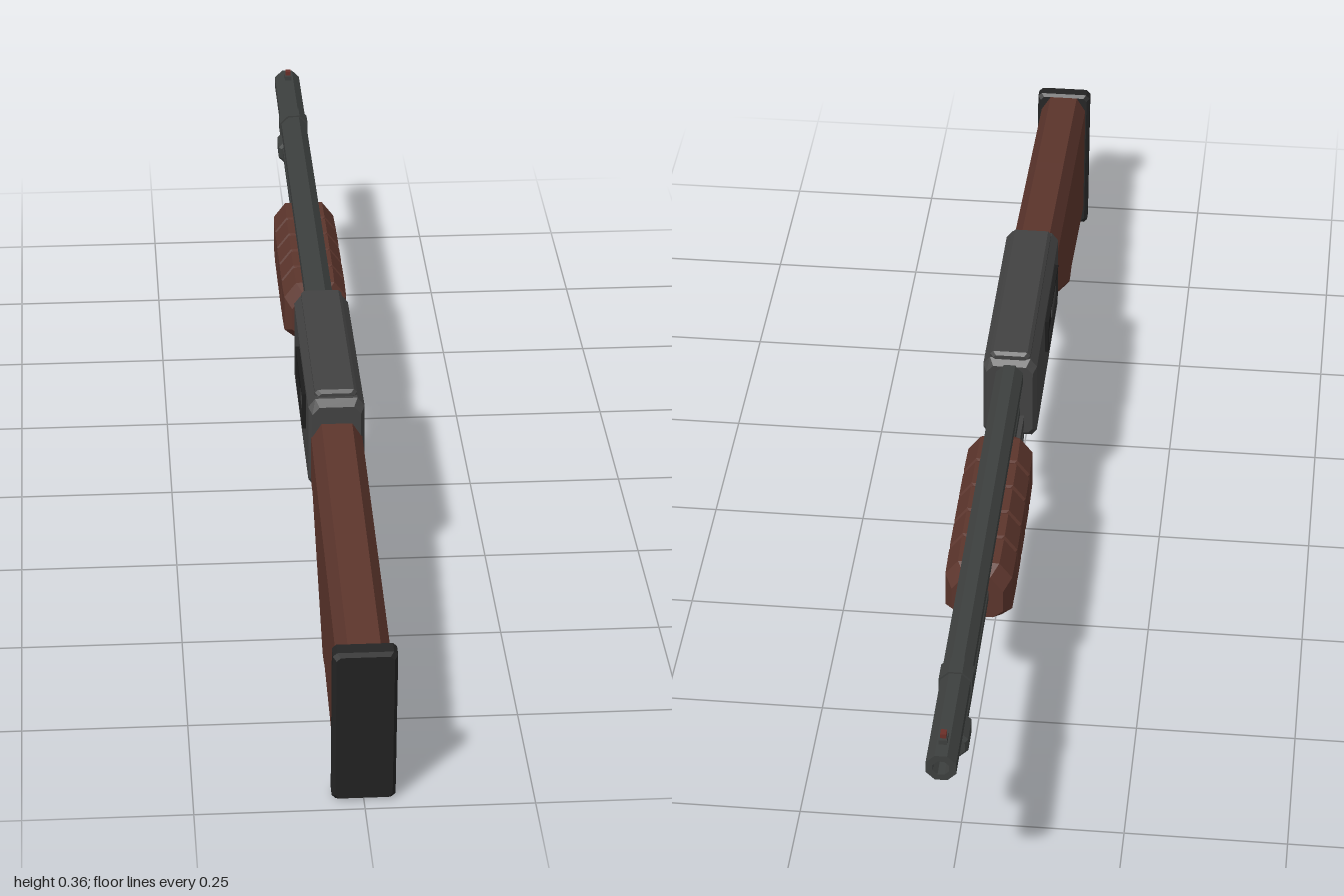
import * as THREE from 'three';

const mat = (name, color) => {
  const m = new THREE.MeshStandardMaterial({ color });
  m.name = name;
  return m;
};

// Flat facets from split faces
function faceted(geo) {
  const g = geo.index ? geo.toNonIndexed() : geo;
  g.computeVertexNormals();
  return g;
}

// Lofts chamfered rectangles, ordered by rising z. Each section:
// [zTop, zBottom, yTop, yBottom, halfWidth, topChamferX, topChamferY, bottomChamferX, bottomChamferY]
function loft(sections) {
  const rings = sections.map(([zt, zb, t, b, w, tx, ty, bx = tx, by = ty]) => {
    const half = [[w - bx, b], [w, b + by], [w, t - ty], [w - tx, t]];
    const ring = [...half, ...half.map(([x, y]) => [-x, y]).reverse()];
    return ring.map(([x, y]) => new THREE.Vector3(x, y, zb + (zt - zb) * (y - b) / (t - b)));
  });
  const pts = [];
  const n = 8;
  for (let i = 0; i < rings.length - 1; i++) {
    for (let j = 0; j < n; j++) {
      const k = (j + 1) % n;
      const [a, b, c, d] = [rings[i][j], rings[i][k], rings[i + 1][k], rings[i + 1][j]];
      pts.push(a, b, c, a, c, d);
    }
  }
  const first = rings[0], last = rings[rings.length - 1];
  for (let j = 1; j < n - 1; j++) {
    pts.push(first[0], first[j + 1], first[j], last[0], last[j], last[j + 1]);
  }
  return faceted(new THREE.BufferGeometry().setFromPoints(pts));
}

// Straight block with every edge chamfered
function block(z0, z1, top, bottom, w, c) {
  return loft([
    [z0, z0, top - c, bottom + c, w - c, c, c],
    [z0 + c, z0 + c, top, bottom, w, c, c],
    [z1 - c, z1 - c, top, bottom, w, c, c],
    [z1, z1, top - c, bottom + c, w - c, c, c],
  ]);
}

// Eight-sided turned part lying along z; profile is [radius, z]
function turned(profile) {
  const g = new THREE.LatheGeometry(profile.map(p => new THREE.Vector2(...p)), 8);
  return faceted(g.rotateY(Math.PI / 8).rotateX(Math.PI / 2));
}

export function createModel() {
  const metal = mat('gunmetal', 0x424242);
  const barrelMetal = mat('barrel steel', 0x3d403f);
  const wood = mat('wood', 0x5c352c);
  const rubber = mat('rubber', 0x242424);
  const dark = mat('dark opening', 0x1c1c1c);
  const red = mat('dull red', 0x6b2f28);

  const group = new THREE.Group();
  const add = (name, geo, material, x = 0, y = 0, z = 0) => {
    const m = new THREE.Mesh(geo, material);
    m.name = name;
    m.position.set(x, y, z);
    group.add(m);
    return m;
  };
  const box = (name, sx, sy, sz, material, x, y, z) =>
    add(name, new THREE.BoxGeometry(sx, sy, sz), material, x, y, z);

  // Stock: narrow wrist, swept belly, slanted butt
  add('stock', loft([
    [0.36, 0.36, 0.315, 0.198, 0.04, 0.016, 0.025, 0.016, 0.02],
    [0.41, 0.41, 0.311, 0.189, 0.04, 0.016, 0.025, 0.016, 0.02],
    [0.655, 0.655, 0.287, 0.043, 0.04, 0.016, 0.025, 0.016, 0.02],
    [0.675, 0.675, 0.285, 0.043, 0.04, 0.016, 0.025, 0.016, 0.02],
    [0.70, 0.70, 0.283, 0.053, 0.04, 0.016, 0.025, 0.016, 0.015],
    [0.968, 0.943, 0.256, 0.024, 0.04, 0.016, 0.025, 0.016, 0.01],
  ]), wood);

  // Butt pad
  add('buttPad', loft([
    [0.966, 0.942, 0.256, 0.006, 0.042, 0.006, 0.006],
    [0.971, 0.947, 0.261, 0.001, 0.047, 0.006, 0.006],
    [0.992, 0.968, 0.259, 0, 0.047, 0.006, 0.006],
    [1.0, 0.976, 0.255, 0.004, 0.042, 0.006, 0.006],
  ]), rubber);

  // Receiver with raised top plate
  add('receiver', loft([
    [-0.018, -0.018, 0.342, 0.212, 0.038, 0.011, 0.012, 0.008, 0.008],
    [-0.008, -0.008, 0.353, 0.202, 0.044, 0.011, 0.014, 0.008, 0.01],
    [0.368, 0.368, 0.353, 0.202, 0.044, 0.011, 0.014, 0.008, 0.01],
    [0.378, 0.378, 0.342, 0.212, 0.038, 0.011, 0.012, 0.008, 0.008],
  ]), metal);
  add('topPlate', block(-0.01, 0.362, 0.363, 0.345, 0.033, 0.005), metal);

  // Ejection port: frame strips around an opening with a bolt
  const portX = -0.046;
  box('portOpening', 0.005, 0.05, 0.16, dark, -0.0435, 0.3, 0.22);
  box('bolt', 0.005, 0.04, 0.075, metal, -0.045, 0.3, 0.258);
  for (const s of [-1, 1]) {
    box('portRail', 0.008, 0.006, 0.172, dark, portX, 0.3 + s * 0.027, 0.22);
    box('portEnd', 0.008, 0.06, 0.006, dark, portX, 0.3, 0.22 + s * 0.083);
  }

  // Trigger housing, guard and trigger
  add('triggerHousing', block(0.085, 0.362, 0.21, 0.16, 0.032, 0.01), metal);
  const guard = new THREE.Shape();
  [[0.305, 0.165], [0.305, 0.14], [0.255, 0.109], [0.16, 0.109], [0.125, 0.138], [0.125, 0.165]]
    .forEach(([z, y], i) => (i ? guard.lineTo(z, y) : guard.moveTo(z, y)));
  const gap = new THREE.Path();
  [[0.291, 0.164], [0.291, 0.148], [0.25, 0.122], [0.165, 0.122], [0.139, 0.144], [0.139, 0.164]]
    .forEach(([z, y], i) => (i ? gap.lineTo(z, y) : gap.moveTo(z, y)));
  guard.holes.push(gap);
  const guardGeo = new THREE.ExtrudeGeometry(guard, { depth: 0.028, bevelEnabled: false });
  add('triggerGuard', faceted(guardGeo.translate(0, 0, -0.014).rotateY(-Math.PI / 2)), metal);
  const trigger = box('trigger', 0.012, 0.045, 0.012, metal, 0, 0.147, 0.225);
  trigger.rotation.x = -0.25;
  for (const s of [-1, 1]) box('safetyButton', 0.006, 0.014, 0.014, red, s * 0.033, 0.182, 0.33);

  // Angled lip below the front of the receiver
  const lip = add('loadingLip', block(-0.04, 0.04, 0.017, -0.017, 0.022, 0.007), metal, 0, 0.199, -0.004);
  lip.rotation.x = -0.5;

  // Barrel with an open muzzle
  add('barrel', turned([
    [0, -0.92], [0.013, -0.92], [0.013, -1], [0.024, -1], [0.024, 0], [0, 0],
  ]), barrelMetal, 0, 0.322, 0);
  box('frontSightBase', 0.012, 0.012, 0.022, barrelMetal, 0, 0.346, -0.963);
  box('frontSight', 0.009, 0.012, 0.012, red, 0, 0.353, -0.963);

  // Magazine tube, end cap and barrel clamp
  add('magazineTube', turned([[0, -0.83], [0.019, -0.83], [0.019, 0], [0, 0]]), barrelMetal, 0, 0.258, 0);
  add('magazineCap', turned([
    [0, -0.874], [0.022, -0.874], [0.027, -0.868], [0.027, -0.822], [0.022, -0.816], [0, -0.816],
  ]), barrelMetal, 0, 0.257, 0);
  add('barrelClamp', turned([[0, -0.812], [0.027, -0.812], [0.027, -0.778], [0, -0.778]]),
    barrelMetal, 0, 0.322, 0);
  box('clampWeb', 0.016, 0.05, 0.03, barrelMetal, 0, 0.285, -0.795);

  // Sliding bars between receiver and pump
  for (const s of [-1, 1]) box('actionBar', 0.008, 0.02, 0.16, metal, s * 0.02, 0.236, -0.08);

  // Pump grip with shallow grooves
  const pumpRing = (z, w, t = 0.304, b = 0.205) => [z, z, t, b, w, 0.02, 0.026, 0.016, 0.013];
  const pump = [pumpRing(-0.512, 0.04, 0.292, 0.215), pumpRing(-0.49, 0.052)];
  for (let i = 1; i < 5; i++) {
    const z = -0.49 + i * 0.066;
    pump.push(pumpRing(z - 0.005, 0.053), pumpRing(z, 0.049, 0.302, 0.207), pumpRing(z + 0.005, 0.053));
  }
  pump.push(pumpRing(-0.162, 0.052), pumpRing(-0.14, 0.04, 0.292, 0.215));
  add('pumpGrip', loft(pump), wood);

  return group;
}
